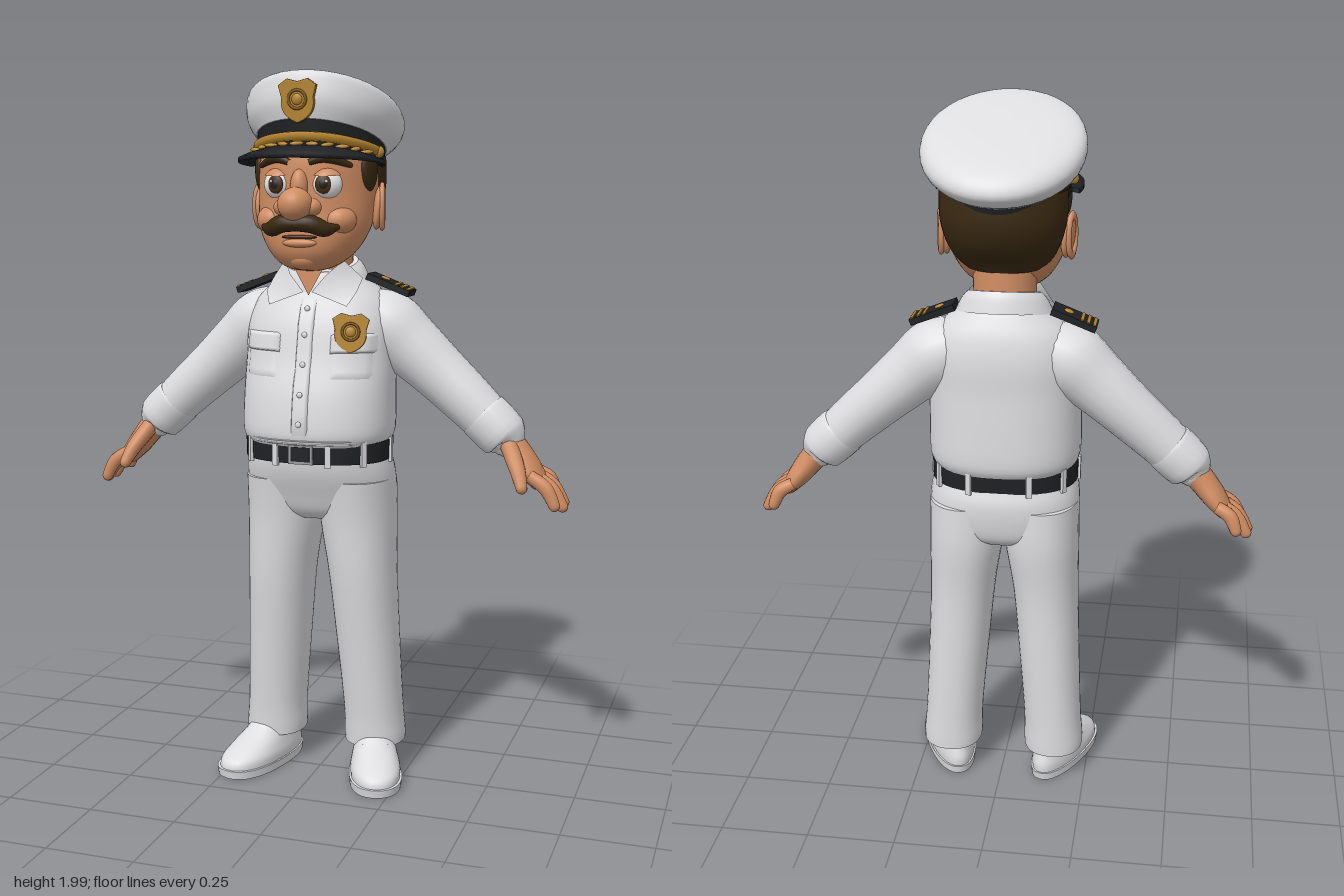
import * as THREE from 'three';

const mat = (name, color) => new THREE.MeshStandardMaterial({ name, color, side: THREE.DoubleSide });
const M = {
  white: mat('uniform white', 0xdddde0), skin: mat('skin', 0xd08d63), hair: mat('dark brown hair', 0x3a2912),
  black: mat('black leather', 0x1f2124), gold: mat('gold', 0xb5852f), eye: mat('eye white', 0xf2f2f2),
  iris: mat('brown iris', 0x4a2c14), silver: mat('silver', 0x9a9ca0), darkGold: mat('dark gold', 0x7d5a1c),
};

function add(parent, name, geo, material, pos = [0, 0, 0], rot = [0, 0, 0], scale = [1, 1, 1]) {
  const m = new THREE.Mesh(geo, material);
  m.name = name;
  m.position.set(...pos); m.rotation.set(...rot); m.scale.set(...scale);
  parent.add(m);
  return m;
}
const sphere = new THREE.SphereGeometry(1, 24, 16);
const ball = (p, name, material, pos, scale, rot) => add(p, name, sphere, material, pos, rot, scale);
const box = (p, name, material, pos, size, rot) => add(p, name, new THREE.BoxGeometry(...size), material, pos, rot);

// Catmull-Rom subdivision of rows of numbers
function smooth(rows, k = 4) {
  const out = [], n = rows.length - 1, at = i => rows[Math.min(n, Math.max(0, i))];
  for (let i = 0; i < n; i++) for (let s = 0; s < k; s++) {
    const t = s / k;
    out.push(rows[i].map((_, c) => {
      const [a, b, d, e] = [i - 1, i, i + 1, i + 2].map(j => at(j)[c]);
      return b + 0.5 * t * (d - a + t * (2 * a - 5 * b + 4 * d - e + t * (3 * (b - d) + e - a)));
    }));
  }
  out.push(rows[n]);
  return out;
}

// Surface through rows of points
function skin(rows, closed) {
  const w = rows[0].length, idx = [];
  for (let i = 0; i < rows.length - 1; i++) for (let j = 0; j < (closed ? w : w - 1); j++) {
    const a = i * w + j, b = i * w + (j + 1) % w;
    idx.push(a, b, b + w, a, b + w, a + w);
  }
  const g = new THREE.BufferGeometry();
  g.setAttribute('position', new THREE.Float32BufferAttribute(rows.flat(2), 3));
  g.setIndex(idx);
  g.computeVertexNormals();
  return g;
}
const pw = (v, n) => Math.sign(v) * Math.abs(v) ** (2 / n);
const angles = (n, a0 = 0, a1 = 2 * Math.PI, open = 0) => Array.from({ length: n + open }, (_, i) => a0 + (a1 - a0) * i / n);

// Stacked rounded sections, bottom to top: [y, z, rx, rz, x, tilt]
function loft(rings, n = 2, k = 4) {
  const r = smooth(rings.map(q => [q[0], q[1], q[2], q[3], q[4] || 0, q[5] || 0]), k);
  const flat = q => [q[0], q[1], 1e-4, 1e-4, q[4], q[5]], e = r[r.length - 1];
  return skin([flat(r[0]), r[0], ...r, e, flat(e)].map(([y, z, rx, rz, x, t]) => angles(40).map(a => {
    const d = rz * pw(Math.cos(a), n);
    return [x + rx * pw(Math.sin(a), n), y + d * Math.sin(t), z + d * Math.cos(t)];
  })), true);
}

// Tapered tube with a round end: [x, y, z, thickness radius, depth radius]
function limb(points, k = 5, seg = 18) {
  const r = smooth(points, k), V = q => new THREE.Vector3(q[0], q[1], q[2]), e = r[r.length - 1];
  const T = V(e).sub(V(r[r.length - 2])).normalize();
  for (const u of [0.4, 0.8, 1.2, 1.56]) {
    const p = V(e).addScaledVector(T, Math.min(e[3], e[4]) * Math.sin(u));
    r.push([p.x, p.y, p.z, e[3] * Math.cos(u), e[4] * Math.cos(u)]);
  }
  return skin(r.map((q, i) => {
    const t = V(r[Math.min(r.length - 1, i + 1)]).sub(V(r[Math.max(0, i - 1)])).normalize();
    const b = new THREE.Vector3(0, 0, 1).addScaledVector(t, -t.z).normalize(), n = b.clone().cross(t);
    return angles(seg).map(a => V(q).addScaledVector(n, q[3] * Math.cos(a)).addScaledVector(b, q[4] * Math.sin(a)).toArray());
  }), true);
}

const TORSO = [[0.985, 0.005, 0.2, 0.168], [1.02, 0.005, 0.213, 0.182], [1.12, 0, 0.213, 0.176], [1.22, -0.012, 0.212, 0.16],
  [1.31, -0.022, 0.21, 0.15], [1.38, -0.03, 0.185, 0.13], [1.43, -0.03, 0.135, 0.108], [1.465, -0.025, 0.095, 0.092]];
const TN = 2.4;
function chestZ(x, y) {
  const r = smooth(TORSO, 8), q = r.find(v => v[0] >= y) || r[r.length - 1];
  return q[1] + q[3] * Math.max(0, 1 - Math.abs(x / q[2]) ** TN) ** (1 / TN);
}
// Raised cloth panel following the chest; its rim sinks into the shirt
function panel(p, name, x0, x1, y0, y1, off) {
  const N = 10, rows = [];
  for (let i = 0; i <= N; i++) rows.push(Array.from({ length: N + 1 }, (_, j) => {
    const x = x0 + (x1 - x0) * j / N, y = y0 + (y1 - y0) * i / N, rim = i % N === 0 || j % N === 0;
    return [x, y, chestZ(x, y) + (rim ? -0.002 : off)];
  }));
  add(p, name, skin(rows, false), M.white);
}

// Shield badge with a raised centre
function badge(p, name, pos, rot, s) {
  const g = new THREE.Group(), sh = new THREE.Shape();
  g.name = name; g.position.set(...pos); g.rotation.set(...rot); g.scale.setScalar(s); p.add(g);
  sh.moveTo(0, -0.058);
  sh.quadraticCurveTo(0.05, -0.04, 0.042, 0.005); sh.lineTo(0.05, 0.035); sh.lineTo(0.028, 0.05); sh.lineTo(0, 0.043);
  sh.lineTo(-0.028, 0.05); sh.lineTo(-0.05, 0.035); sh.lineTo(-0.042, 0.005); sh.quadraticCurveTo(-0.05, -0.04, 0, -0.058);
  add(g, 'shield', new THREE.ExtrudeGeometry(sh, { depth: 0.008, bevelSize: 0.003, bevelThickness: 0.003, bevelSegments: 2 }), M.gold);
  add(g, 'badgeRing', new THREE.TorusGeometry(0.024, 0.004, 8, 24), M.darkGold, [0, 0, 0.011]);
  ball(g, 'badgeCentre', M.gold, [0, 0, 0.01], [0.015, 0.015, 0.007]);
}

// Everything that exists once per side, built on +x
function buildSide(s) {
  const g = new THREE.Group();
  g.name = s > 0 ? 'leftSide' : 'rightSide';
  g.scale.x = s;
  // Arm and hand
  add(g, 'sleeve', limb([[0.1, 1.345, -0.045, 0.07, 0.085], [0.18, 1.305, -0.048, 0.1, 0.1], [0.25, 1.25, -0.052, 0.09, 0.09],
    [0.33, 1.18, -0.055, 0.08, 0.082], [0.42, 1.1, -0.052, 0.073, 0.075], [0.5, 1.025, -0.05, 0.066, 0.068]]), M.white);
  add(g, 'cuff', limb([[0.455, 1.07, -0.051, 0.066, 0.067], [0.465, 1.06, -0.051, 0.073, 0.073], [0.52, 1.008, -0.05, 0.069, 0.07], [0.527, 1.0, -0.05, 0.05, 0.05]], 3).scale(1, 1, 1), M.white);
  add(g, 'palm', limb([[0.5, 1.03, -0.05, 0.042, 0.045], [0.55, 0.975, -0.05, 0.038, 0.048], [0.59, 0.925, -0.05, 0.033, 0.06], [0.618, 0.89, -0.052, 0.024, 0.062]]), M.skin);
  [[0.0, 0.005, 0.672, 0.832], [-0.035, -0.035, 0.688, 0.823], [-0.07, -0.078, 0.684, 0.827], [-0.102, -0.12, 0.655, 0.85]].forEach(([z0, z1, x, y]) =>
    add(g, 'finger', limb([[0.6, 0.91, z0, 0.018, 0.018], [(0.6 + x) / 2 + 0.01, (0.91 + y) / 2 + 0.008, (z0 + z1) / 2, 0.02, 0.019], [x, y, z1, 0.016, 0.016]], 4, 12), M.skin));
  add(g, 'thumb', limb([[0.54, 0.985, -0.02, 0.025, 0.03], [0.572, 0.93, 0.025, 0.022, 0.024], [0.59, 0.885, 0.053, 0.016, 0.017]], 4, 12), M.skin);
  // Shoulder board
  const b = new THREE.Group();
  b.name = 'shoulderBoard'; b.position.set(0.193, 1.42, -0.042); b.rotation.z = -0.37; g.add(b);
  box(b, 'board', M.black, [0, 0, 0], [0.13, 0.018, 0.075]);
  [0.02, 0.038, 0.056].forEach(x => box(b, 'boardStripe', M.gold, [x, 0.009, 0], [0.009, 0.006, 0.068]));
  ball(b, 'boardStar', M.gold, [-0.02, 0.01, 0], [0.014, 0.005, 0.014]);
  // Collar flap
  add(g, 'collarFlap', skin([[[0.012, 1.405, 0.112], [0.112, 1.368, 0.112]], [[0.05, 1.45, 0.108], [0.13, 1.405, 0.08]], [[0.085, 1.49, 0.055], [0.13, 1.44, 0.02]]], false), M.white);
  // Chest pocket
  panel(g, 'pocket', 0.075, 0.185, 1.17, 1.28, 0.005);
  panel(g, 'pocketFlap', 0.07, 0.19, 1.24, 1.295, 0.012);
  // Trouser leg
  add(g, 'trouserLeg', loft([[0.09, -0.055, 0.086, 0.096, 0.153], [0.12, -0.054, 0.087, 0.097, 0.152], [0.2, -0.05, 0.084, 0.1, 0.148], [0.4, -0.038, 0.088, 0.112, 0.135],
    [0.6, -0.026, 0.094, 0.125, 0.122], [0.76, -0.026, 0.106, 0.138, 0.109], [0.88, -0.016, 0.106, 0.145, 0.107]], 2.2), M.white);
  // Shoe, splayed outward
  const shoe = new THREE.Group();
  shoe.name = 'shoe'; shoe.position.set(0.172, 0, 0.016); shoe.rotation.y = 0.32; g.add(shoe);
  const toe = geo => {
    const p = geo.attributes.position;
    for (let i = 0; i < p.count; i++) p.setX(i, p.getX(i) * (1 + 1.1 * p.getZ(i)));
    geo.computeVertexNormals();
    return geo;
  };
  add(shoe, 'sole', toe(loft([[0, 0.005, 0.072, 0.168], [0.024, 0.005, 0.074, 0.172]], 2.3, 1)), M.white);
  add(shoe, 'shoeUpper', toe(loft([[0.02, 0.004, 0.069, 0.166], [0.045, 0, 0.07, 0.162], [0.07, -0.018, 0.065, 0.136], [0.1, -0.045, 0.058, 0.1], [0.14, -0.07, 0.045, 0.07]], 2.2)), M.white);
  [0.03, 0.055, 0.08].forEach(z => ball(shoe, 'lace', M.white, [0, 0.125 - z * 0.72, z], [0.038, 0.008, 0.008]));
  // Eye, brow, ear, sideburn
  const eye = new THREE.Group();
  eye.name = 'eye'; eye.position.set(0.068, 1.695, 0.152); eye.rotation.y = 0.22; g.add(eye);
  ball(eye, 'eyeball', M.eye, [0, 0, 0], [0.042, 0.04, 0.03]);
  ball(eye, 'iris', M.iris, [-0.006, 0, 0.024], [0.023, 0.025, 0.009]);
  ball(eye, 'pupil', M.black, [-0.006, 0, 0.029], [0.013, 0.014, 0.006]);
  ball(eye, 'glint', M.eye, [0.002, 0.008, 0.034], [0.004, 0.004, 0.002]);
  add(eye, 'eyelid', new THREE.SphereGeometry(1, 24, 8, 0, 2 * Math.PI, 0, 1.0), M.skin, [0, 0.001, 0], [0.1, 0, 0], [0.045, 0.043, 0.034]);
  add(g, 'eyebrow', limb([[0.028, 1.752, 0.18, 0.008, 0.008], [0.07, 1.765, 0.168, 0.014, 0.012], [0.125, 1.745, 0.125, 0.007, 0.008]]), M.hair);
  ball(g, 'ear', M.skin, [0.168, 1.632, 0.002], [0.016, 0.06, 0.034], [0, 0.25, -0.1]);
  add(g, 'earRim', new THREE.TorusGeometry(0.03, 0.008, 8, 24), M.skin, [0.178, 1.635, 0], [0, Math.PI / 2 + 0.25, 0], [0.9, 1.75, 1]);
  ball(g, 'sideburn', M.hair, [0.155, 1.735, 0.05], [0.017, 0.06, 0.04], [0, -0.2, 0]);
  ball(g, 'nostril', M.skin, [0.04, 1.635, 0.192], [0.026, 0.024, 0.028]);
  ball(g, 'cheek', M.skin, [0.09, 1.6, 0.118], [0.05, 0.042, 0.05]);
  add(g, 'moustacheHalf', limb([[-0.004, 1.592, 0.205, 0.02, 0.03], [0.04, 1.592, 0.205, 0.024, 0.026], [0.075, 1.578, 0.188, 0.021, 0.022], [0.1, 1.582, 0.167, 0.009, 0.012]]), M.hair);
  return g;
}

function buildHead() {
  const g = new THREE.Group();
  g.name = 'head';
  add(g, 'neck', loft([[1.4, -0.02, 0.085, 0.085], [1.56, -0.015, 0.088, 0.085]]), M.skin);
  add(g, 'face', loft([[1.462, 0.09, 0.015, 0.015], [1.467, 0.088, 0.05, 0.045], [1.485, 0.08, 0.088, 0.08], [1.52, 0.06, 0.123, 0.12], [1.57, 0.044, 0.15, 0.139],
    [1.62, 0.028, 0.16, 0.152], [1.68, 0.01, 0.163, 0.17], [1.74, 0, 0.164, 0.18], [1.78, 0, 0.16, 0.175]], 2.1), M.skin);
  add(g, 'hair', loft([[1.55, -0.03, 0.1, 0.07], [1.575, -0.035, 0.128, 0.082], [1.61, -0.045, 0.148, 0.105], [1.65, -0.05, 0.162, 0.125], [1.7, -0.05, 0.171, 0.139], [1.77, -0.045, 0.171, 0.14]]), M.hair);
  ball(g, 'nose', M.skin, [0, 1.643, 0.212], [0.047, 0.045, 0.05]);
  ball(g, 'noseBridge', M.skin, [0, 1.69, 0.178], [0.024, 0.045, 0.026]);
  ball(g, 'lowerLip', M.skin, [0, 1.54, 0.178], [0.048, 0.012, 0.014]);
  ball(g, 'mouth', M.iris, [0, 1.556, 0.178], [0.05, 0.006, 0.011]);
  ball(g, 'chin', M.skin, [0, 1.497, 0.128], [0.05, 0.032, 0.042]);
  return g;
}

function buildCap() {
  const g = new THREE.Group();
  g.name = 'cap';
  add(g, 'capBand', loft([[1.745, -0.01, 0.172, 0.178, 0, 0.22], [1.812, -0.01, 0.176, 0.194, 0, 0.32]], 2, 2), M.black);
  add(g, 'capCrown', loft([[1.805, -0.01, 0.178, 0.197, 0, 0.32], [1.835, -0.025, 0.206, 0.225, 0, 0.36], [1.872, -0.045, 0.219, 0.24, 0, 0.38], [1.906, -0.045, 0.207, 0.226, 0, 0.38],
    [1.924, -0.042, 0.165, 0.18, 0, 0.38], [1.932, -0.04, 0.09, 0.1, 0, 0.38], [1.934, -0.04, 0.002, 0.002, 0, 0.38]]), M.white);
  // Peak, strap and leaf braid follow the band's lower edge
  const rim = (a, e, dy) => [(0.172 + e) * Math.sin(a), 1.75 + 0.05 * Math.cos(a) + dy, -0.01 + (0.175 + e) * Math.cos(a)];
  const arc = angles(32, -1.4, 1.4, 1);
  const peak = (a, t) => [0.1 * t * Math.cos(a) ** 0.8, -0.025 * t * t * Math.cos(a)];
  const rows = [[0, 0], [0.35, 0], [0.7, 0], [1, 0], [1, -0.012], [0.5, -0.012], [0, -0.012]];
  add(g, 'capPeak', skin(rows.map(([t, d]) => arc.map(a => { const [e, y] = peak(a, t); return rim(a, e, y + d); })), false), M.black);
  add(g, 'capStrap', skin([[0, 0.008], [0.012, 0.01], [0.016, 0.021], [0.015, 0.032], [0, 0.034]].map(([e, y]) => arc.map(a => rim(a, e, y))), false), M.gold);
  angles(10, -1, 1, 1).forEach((a, i) => {
    const [e, y] = peak(a, 0.33);
    ball(g, 'braidLeaf', M.gold, rim(a, e, y + 0.004), [0.019, 0.006, 0.01], [0.15, a + (i % 2 ? 0.4 : -0.4), 0]);
  });
  [-1, 1].forEach(s => ball(g, 'strapButton', M.gold, rim(s * 1.35, 0.01, 0.02), [0.014, 0.016, 0.014]));
  badge(g, 'capBadge', [0, 1.915, 0.184], [0.05, 0, 0], 1);
  return g;
}

export function createModel() {
  const model = new THREE.Group();
  model.name = 'uniformedOfficer';
  // Shirt
  add(model, 'shirt', loft(TORSO, TN), M.white);
  panel(model, 'placket', -0.024, 0.024, 0.995, 1.4, 0.006);
  [1.05, 1.13, 1.21, 1.29, 1.36].forEach(y => ball(model, 'button', M.white, [0, y, chestZ(0, y) + 0.007], [0.008, 0.008, 0.004]));
  add(model, 'collar', loft([[1.425, -0.025, 0.135, 0.118, 0, -0.2], [1.46, -0.022, 0.118, 0.11, 0, -0.25], [1.48, -0.02, 0.1, 0.1, 0, -0.25]]), M.white);
  add(model, 'openNeck', skin([[[0, 1.395, 0.104], [0, 1.395, 0.104]], [[-0.045, 1.475, 0.1], [0.045, 1.475, 0.1]]], false), M.skin);
  badge(model, 'chestBadge', [0.125, 1.3, chestZ(0.125, 1.3) + 0.008], [-0.12, 0.28, 0], 0.95);
  // Trousers seat
  add(model, 'trouserSeat', loft([[0.765, -0.025, 0.11, 0.1], [0.79, -0.025, 0.19, 0.128], [0.84, -0.02, 0.213, 0.146], [0.9, -0.009, 0.212, 0.16], [0.95, 0.003, 0.203, 0.158], [0.99, 0.004, 0.198, 0.156]], 2.3), M.white);
  panel(model, 'shirtHem', -0.15, 0.15, 0.99, 1.005, 0.002);
  // Belt with loops and buckle
  add(model, 'belt', loft([[0.937, 0.005, 0.207, 0.163], [0.993, 0.005, 0.208, 0.165]], TN, 1), M.black);
  [0.3, 0.85, 1.57, 2.2, 2.8].forEach(a => [-a, a].forEach(b =>
    box(model, 'beltLoop', M.white, [0.209 * pw(Math.sin(b), TN), 0.964, 0.005 + 0.166 * pw(Math.cos(b), TN)], [0.016, 0.07, 0.01], [0, b, 0])));
  box(model, 'buckleFrame', M.silver, [0, 0.965, 0.17], [0.07, 0.056, 0.012]);
  box(model, 'bucklePlate', M.black, [0, 0.965, 0.174], [0.054, 0.04, 0.01]);
  model.add(buildHead(), buildCap(), buildSide(1), buildSide(-1));
  return model;
}
